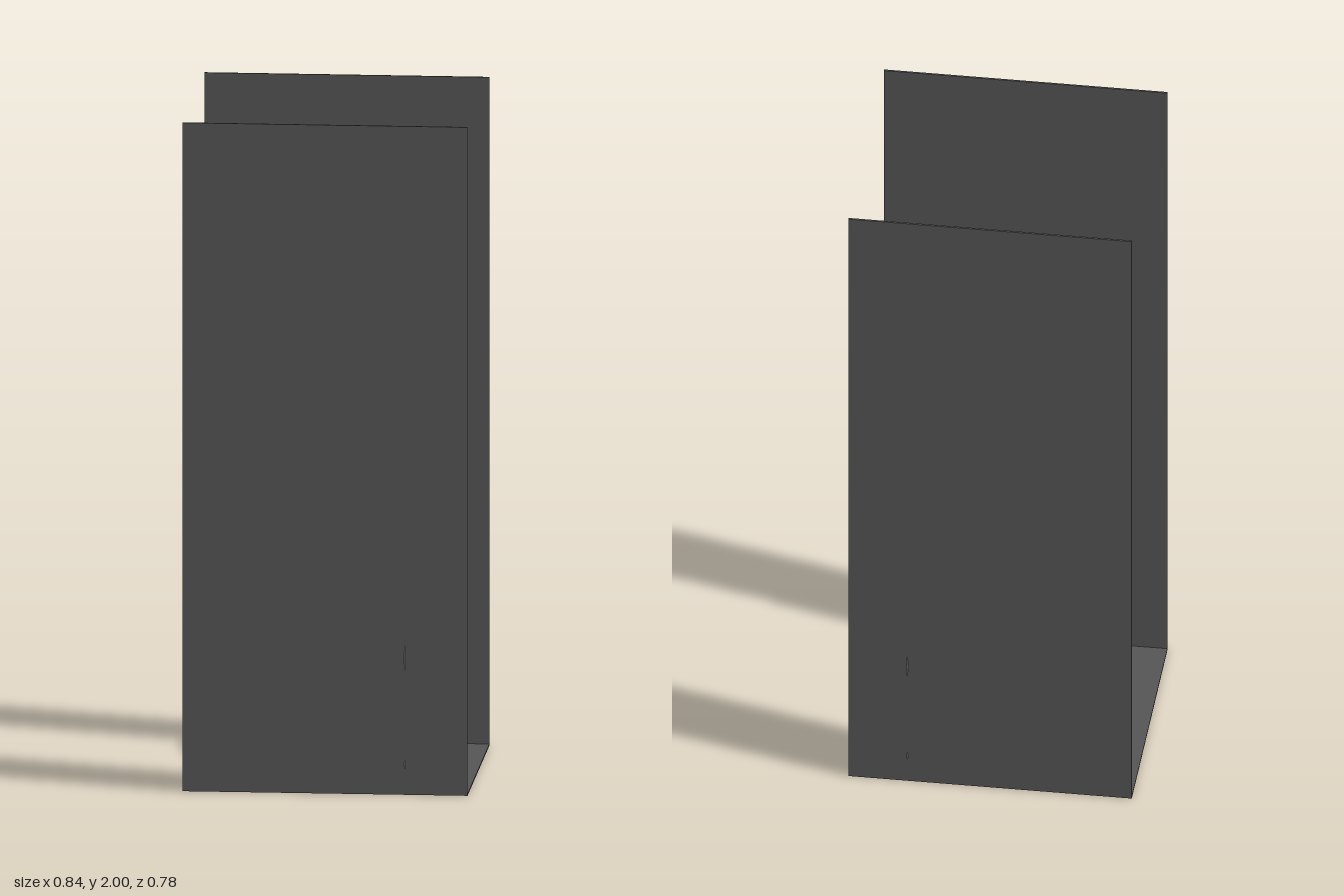
import * as THREE from 'three';

const mat = (color) => new THREE.MeshStandardMaterial({ color, flatShading: true });
const dark = mat(0x555555), stone = mat(0x909090), brass = mat(0xb0b050);

function add(parent, name, geo, material, x = 0, y = 0, z = 0) {
  const m = new THREE.Mesh(geo, material);
  m.name = name;
  m.position.set(x, y, z);
  parent.add(m);
  return m;
}
const box = (parent, name, w, h, d, x, y, z, material = stone) =>
  add(parent, name, new THREE.BoxGeometry(w, h, d), material, x, y, z);

// Shallow raised panel that follows a sloping four-cornered face (corners anticlockwise from outside)
function raisedPanel(corners, inset, height) {
  const p = corners.map((c) => new THREE.Vector3(...c));
  const n = p[1].clone().sub(p[0]).cross(p[2].clone().sub(p[0])).normalize();
  const shrink = (d, lift) => p.map((c, i) => {
    const a = p[(i + 1) % 4].clone().sub(c).normalize();
    const b = p[(i + 3) % 4].clone().sub(c).normalize();
    const sin = a.clone().cross(b).length();
    return c.clone().addScaledVector(a.add(b), d / sin).addScaledVector(n, lift);
  });
  const low = shrink(inset, 0), high = shrink(inset + 0.002, height);
  const v = [];
  const quad = (a, b, c, d) => [a, b, c, a, c, d].forEach((q) => v.push(q.x, q.y, q.z));
  quad(...high);
  for (let i = 0; i < 4; i++) {
    const j = (i + 1) % 4;
    quad(low[i], low[j], high[j], high[i]);
  }
  const g = new THREE.BufferGeometry();
  g.setAttribute('position', new THREE.Float32BufferAttribute(v, 3));
  g.computeVertexNormals();
  return g;
}

function makeTomb(x, z, angle) {
  const g = new THREE.Group();
  g.name = 'stoneCoffin';
  const W = 0.146, L = 0.348;
  box(g, 'coffinBase', W, 0.014, L, 0, 0.012, 0);
  box(g, 'coffinBody', W - 0.014, 0.095, L - 0.014, 0, 0.064, 0);
  box(g, 'lidRim', W, 0.014, L, 0, 0.117, 0);
  // Corner posts and framed sides
  for (const sx of [-1, 1]) for (const sz of [-1, 1])
    box(g, 'cornerPost', 0.018, 0.095, 0.022, sx * (W / 2 - 0.011), 0.064, sz * (L / 2 - 0.013));
  for (const s of [-1, 1]) {
    box(g, 'sidePanel', 0.004, 0.07, 0.27, s * (W / 2 - 0.006), 0.064, 0);
    box(g, 'endPanel', 0.085, 0.07, 0.004, 0, 0.064, s * (L / 2 - 0.006));
  }
  // Hipped lid: a box whose upper corners are drawn in to the flat centre
  const a = W / 2 - 0.006, b = L / 2 - 0.006, c = 0.043, d = 0.077, y0 = 0.122, y1 = 0.139;
  const lid = new THREE.BoxGeometry(2 * a, y1 - y0, 2 * b);
  const p = lid.attributes.position;
  for (let i = 0; i < p.count; i++)
    if (p.getY(i) > 0) p.setXYZ(i, Math.sign(p.getX(i)) * c, p.getY(i), Math.sign(p.getZ(i)) * d);
  lid.computeVertexNormals();
  add(g, 'lid', lid, stone, 0, (y0 + y1) / 2, 0);
  // Panels on the lid faces
  add(g, 'lidCentrePanel', raisedPanel(
    [[-c, y1, d], [c, y1, d], [c, y1, -d], [-c, y1, -d]], 0.009, 0.002), stone);
  for (const turn of [0, Math.PI]) {
    add(g, 'lidEndPanel', raisedPanel(
      [[-a, y0, b], [a, y0, b], [c, y1, d], [-c, y1, d]], 0.009, 0.002), stone).rotation.y = turn;
    add(g, 'lidSidePanel', raisedPanel(
      [[a, y0, b], [a, y0, -b], [c, y1, -d], [c, y1, d]], 0.006, 0.002), stone).rotation.y = turn;
  }
  g.position.set(x, 0, z);
  g.rotation.y = angle;
  return g;
}

// Rough-hewn pillar: chamfered block with a gentle wobble
function pillarGeometry(seed) {
  const w = 0.056, h = 0.596, d = 0.049;
  const geo = new THREE.BoxGeometry(w, h, d, 2, 10, 2);
  const p = geo.attributes.position;
  for (let i = 0; i < p.count; i++) {
    const x = p.getX(i), y = p.getY(i), z = p.getZ(i);
    const corner = x !== 0 && z !== 0 ? 0.95 : 1;
    const wob = (k) => 0.0016 * Math.sin(y * 17 + k * 2.1 + seed + x * 60 + z * 45);
    p.setXYZ(i, x * corner + wob(1), y, z * corner + wob(2));
  }
  geo.computeVertexNormals();
  return geo;
}

// Arched drain grate: half ring with upright bars
function makeGrate(z) {
  const g = new THREE.Group();
  g.name = 'drainGrate';
  const r = 0.037;
  add(g, 'grateArch', new THREE.TorusGeometry(r, 0.003, 6, 16, Math.PI), brass);
  for (let i = -3; i <= 3; i++) {
    const x = i * 0.0095, h = Math.sqrt(r * r - x * x);
    box(g, 'grateBar', 0.004, h, 0.005, x, h / 2, 0, brass);
  }
  g.position.set(-0.03, 0.004, z);
  return g;
}

export function createModel() {
  const model = new THREE.Group();
  model.name = 'crypt';
  const X = 0.42, Z = 0.385, t = 0.006;

  // Floor and two tall walls
  box(model, 'floor', 2 * X, 0.005, 2 * Z, 0, 0.0025, 0, dark);
  for (const s of [-1, 1]) {
    box(model, 'wall', 2 * X, 2, t, 0, 1, s * (Z - t / 2), dark);
    model.add(makeGrate(s * 0.375));
    // Pillars against the wall
    for (const x of [-0.208, 0.25])
      add(model, 'pillar', pillarGeometry(x * 20 + s), stone, x, 0.302, s * 0.355);
  }
  // Bulge of the left pillars showing through the walls
  for (const [s, x] of [[1, 0.235], [-1, 0.245]])
    for (const [y, h] of [[0.41, 0.23], [0.09, 0.08]]) {
      const m = add(model, 'pillarBulge', new THREE.OctahedronGeometry(1), stone, x, y, s * 0.379);
      m.scale.set(0.008, h / 2, 0.009);
    }

  // Three coffins lying at odd angles
  model.add(makeTomb(-0.29, -0.186, 0.29));
  model.add(makeTomb(0.285, 0.135, 0.195));
  model.add(makeTomb(-0.017, 0.222, -0.97));
  return model;
}
